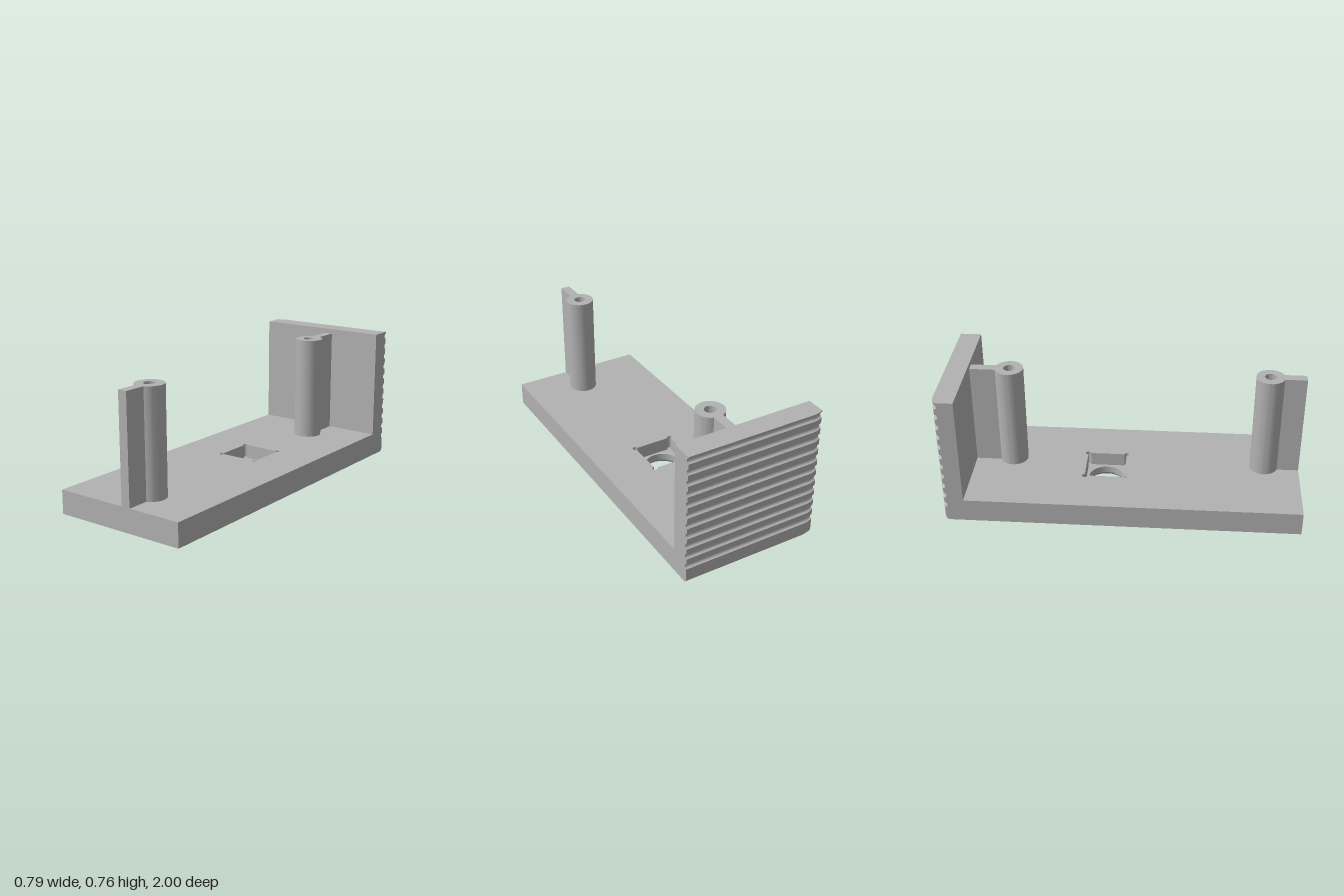
import * as THREE from 'three';
import { toCreasedNormals } from 'three/addons/utils/BufferGeometryUtils.js';

const HALF = 0.395, WALL_Z = -0.88, BACK = -1;
const Y1 = 0.015, Y2 = 0.055, TOP = 0.135, POST_TOP = 0.735, WALL_TOP = 0.763;
const POST_X = 0.055, POST_ZS = [-0.66, 0.8];

// How far the back face is pulled in near the rounded corner at -x
const cornerInset = (x) => {
  const t = Math.max(0, (-0.335 - x) / 0.06);
  return 0.016 * t * t;
};

const circle = (x, z, r) => new THREE.Path().absarc(x, -z, r, 0, Math.PI * 2, true);

// Plate outline in (x, -z), optionally reaching the rounded back
function outline(backZ, rounded) {
  const s = new THREE.Shape();
  s.moveTo(-HALF, -1);
  s.lineTo(HALF, -1);
  s.lineTo(HALF, -backZ);
  if (rounded) {
    for (let i = 0; i <= 6; i++) {
      const x = -0.335 - 0.06 * i / 6;
      s.lineTo(x, -backZ - cornerInset(x));
    }
  } else s.lineTo(-HALF, -backZ);
  s.closePath();
  return s;
}

// Extrude a flat shape upward from y0 to y1
function slab(shape, y0, y1) {
  const g = new THREE.ExtrudeGeometry(shape, { depth: y1 - y0, bevelEnabled: false, curveSegments: 20 });
  return g.rotateX(-Math.PI / 2).translate(0, y0, 0);
}

// Square pocket with relief circles at its corners
function pocket() {
  const p = new THREE.Path(), r = 0.015;
  const [x0, x1, y0, y1] = [-0.108, 0.124, 0.002, 0.23];
  [[x1, y0], [x1, y1], [x0, y1], [x0, y0]].forEach(([x, y], i) => {
    const a = Math.PI * (1 + i / 2);
    p.absarc(x, y, r, a, a + Math.PI * 1.5, false);
  });
  p.closePath();
  return p;
}

export function createModel() {
  const group = new THREE.Group();
  const grey = new THREE.MeshStandardMaterial({ color: 0xb2b2b2 });
  grey.name = 'grey';
  const add = (name, geometry, crease = 0.5) => {
    const mesh = new THREE.Mesh(toCreasedNormals(geometry, crease), grey);
    mesh.name = name;
    group.add(mesh);
    return mesh;
  };

  // Underside holes: x, z, bore radius, countersink radius
  const bores = [
    [0.005, -0.115, 0.1, 0.108],
    ...POST_ZS.map((z) => [POST_X, z, 0.055, 0.077]),
    [-0.308, -0.952, 0.02, 0.03],
  ];

  // Bottom layer with countersinks and a chamfered back edge
  const bottom = outline(BACK, true);
  bores.forEach(([x, z, , R]) => bottom.holes.push(circle(x, z, R)));
  const bottomGeo = slab(bottom, 0, Y1);
  const bp = bottomGeo.attributes.position;
  for (let i = 0; i < bp.count; i++) {
    const inset = cornerInset(bp.getX(i));
    if (bp.getY(i) < 0.001 && bp.getZ(i) < BACK + inset + 0.001) bp.setZ(i, bp.getZ(i) + 0.012);
  }
  bottomGeo.computeVertexNormals();
  add('baseBottom', bottomGeo);
  bores.forEach(([x, z, r, R]) => {
    const cone = new THREE.LatheGeometry([new THREE.Vector2(r, Y1), new THREE.Vector2(R, 0)], 40);
    add('countersink', cone.translate(x, 0, z));
  });

  // Middle layer with the bores
  const middle = outline(BACK, true);
  bores.forEach(([x, z, r]) => middle.holes.push(circle(x, z, r)));
  add('baseMiddle', slab(middle, Y1, Y2));

  // Top layer with the square pocket and screw holes
  const top = outline(WALL_Z, false);
  top.holes.push(pocket());
  POST_ZS.forEach((z) => top.holes.push(circle(POST_X, z, 0.033)));
  add('baseTop', slab(top, Y2, TOP));

  // Back wall: side profile in (-z, y) with round grooves, swept along x
  const profile = new THREE.Shape();
  profile.moveTo(-WALL_Z, Y2);
  profile.lineTo(-BACK, Y2);
  const grooves = 11, pitch = 0.0635, r = 0.016;
  for (let i = 0; i < grooves; i++) {
    const y = 0.103 + i * pitch;
    for (let k = 0; k <= 8; k++) {
      const a = Math.PI * k / 8;
      profile.lineTo(-BACK - 0.014 * Math.sin(a), y - r * Math.cos(a));
    }
  }
  profile.lineTo(-BACK, WALL_TOP);
  profile.lineTo(-WALL_Z, WALL_TOP);
  profile.closePath();
  const wall = new THREE.ExtrudeGeometry(profile, { depth: HALF * 2, steps: 52, bevelEnabled: false });
  wall.rotateY(Math.PI / 2).translate(-HALF, 0, 0);
  const wp = wall.attributes.position;
  for (let i = 0; i < wp.count; i++) {
    if (wp.getZ(i) < -0.95) wp.setZ(i, wp.getZ(i) + cornerInset(wp.getX(i)));
  }
  wall.computeVertexNormals();
  add('groovedBackWall', wall);

  // Hollow screw posts, each with a rib running to the nearest end
  POST_ZS.forEach((z) => {
    const R = 0.08, w = 0.0265, a = Math.asin(w / R);
    const reach = z < 0 ? z - WALL_Z : 1 - z;
    const s = new THREE.Shape();
    s.absarc(0, 0, R, Math.PI / 2 + a, Math.PI * 2.5 - a, false);
    s.lineTo(w, reach);
    s.lineTo(-w, reach);
    s.closePath();
    s.holes.push(circle(0, 0, 0.033));
    const post = add(z < 0 ? 'backPost' : 'frontPost', slab(s, TOP, POST_TOP));
    post.position.set(POST_X, 0, z);
    if (z > 0) post.rotation.y = Math.PI;
  });

  return group;
}
